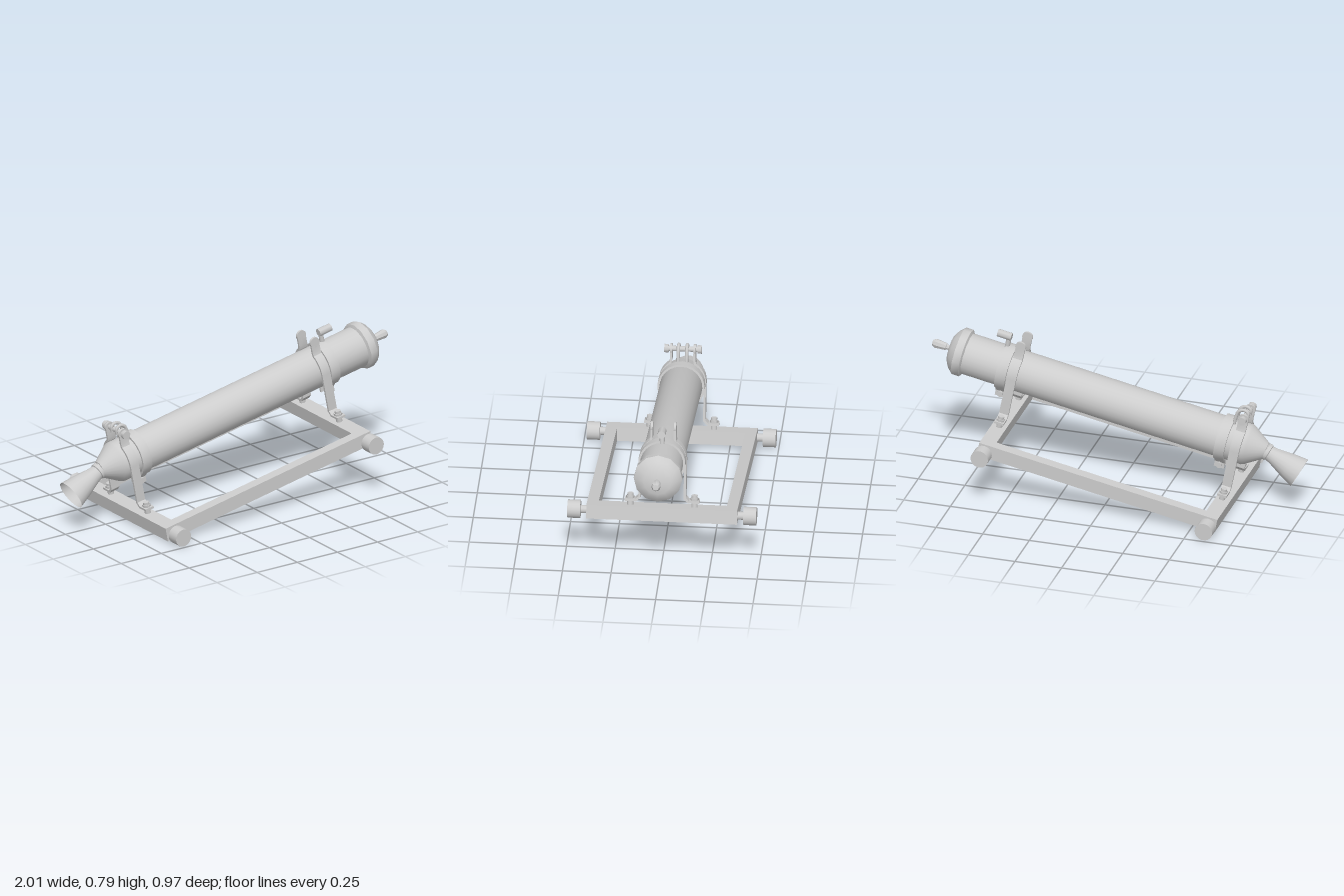
import * as THREE from 'three';
import { toCreasedNormals } from 'three/addons/utils/BufferGeometryUtils.js';

const TILT = Math.atan(0.198);
const AXIS = 0.294; // height of the tube axis above the frame
const R = 0.108;

export function createModel() {
  const model = new THREE.Group();
  model.name = 'tubeOnStand';
  const grey = new THREE.MeshStandardMaterial({ color: 0xcccccc, side: THREE.DoubleSide });
  grey.name = 'light grey';

  // everything is laid out along x, then tilted as a whole
  const tilted = new THREE.Group();
  tilted.name = 'tiltedAssembly';
  tilted.position.y = 0.167;
  tilted.rotation.z = TILT;
  model.add(tilted);

  function add(name, geometry, x = 0, y = 0, z = 0, parent = tilted) {
    const mesh = new THREE.Mesh(geometry, grey);
    mesh.name = name;
    mesh.position.set(x, y, z);
    parent.add(mesh);
    return mesh;
  }
  const box = (w, h, d) => new THREE.BoxGeometry(w, h, d);
  const rod = (r, length, axis = 'y', sides = 12, r2 = r) => {
    const g = new THREE.CylinderGeometry(r2, r, length, sides);
    if (axis === 'x') g.rotateZ(-Math.PI / 2);
    if (axis === 'z') g.rotateX(Math.PI / 2);
    return g;
  };
  // turned part along x from [x, radius] pairs
  const turned = (profile, sides) => toCreasedNormals(
    new THREE.LatheGeometry(profile.map(([x, r]) => new THREE.Vector2(r, x)), sides)
      .rotateZ(-Math.PI / 2), 0.6);
  // bent flat strip following [z, y] points, width along x
  function strip(points, thickness, width) {
    const p = points.map(([z, y]) => new THREE.Vector2(z, y));
    const side = (s) => p.map((c, i) => {
      const a = i > 0 ? c.clone().sub(p[i - 1]).normalize() : null;
      const b = i < p.length - 1 ? p[i + 1].clone().sub(c).normalize() : null;
      const t = (a && b ? a.clone().add(b) : (a || b).clone()).normalize();
      const k = s * thickness / 2 / Math.max(0.5, t.dot(a || b));
      return new THREE.Vector2(c.x - t.y * k, c.y + t.x * k);
    });
    const g = new THREE.ExtrudeGeometry(new THREE.Shape([...side(1), ...side(-1).reverse()]),
      { depth: width, bevelEnabled: false });
    g.translate(0, 0, -width / 2).rotateY(-Math.PI / 2);
    return toCreasedNormals(g, 0.6);
  }

  // frame
  for (const s of [-1, 1]) {
    add('sideRail', box(1.3, 0.074, 0.058), 0, 0, s * 0.358);
    add('crossBeam', box(0.077, 0.074, 0.66), s * 0.6115);
    for (const e of [-1, 1]) {
      add('axle', rod(0.021, 0.06, 'z'), e * 0.612, 0, s * 0.405);
      add('roller', rod(0.047, 0.066, 'z', 18), e * 0.612, 0, s * 0.452);
    }
  }

  // main tube with tapered tail
  add('tube', turned([[-0.748, 0], [-0.748, 0.042], [-0.655, 0.102], [-0.64, R],
    [0.9, R]], 24), 0, AXIS);
  // front cap and its pin
  add('frontCap', turned([[0.885, R], [0.893, 0.125], [0.933, 0.125], [0.96, 0.1],
    [0.976, 0.072], [0.984, 0]], 12), 0, AXIS);
  add('capPin', turned([[0.975, 0.013], [1.0, 0.014], [1.003, 0.019], [1.06, 0.025],
    [1.076, 0.016], [1.077, 0]], 8), 0, AXIS);

  // flared nozzle, bent down from the tube axis
  const nozzle = new THREE.Group();
  nozzle.name = 'nozzle';
  nozzle.position.set(-0.735, AXIS, 0);
  nozzle.rotation.z = 0.31;
  tilted.add(nozzle);
  add('nozzleBell', turned([[-0.214, 0.081], [-0.15, 0.068], [-0.06, 0.044], [-0.025, 0.038],
    [0.02, 0.038], [0.02, 0]], 18), 0, 0, 0, nozzle);
  add('nozzleCollar', turned([[-0.03, 0.036], [-0.026, 0.045], [-0.008, 0.045],
    [-0.004, 0.036]], 18), 0, 0, 0, nozzle);

  // clamp rings, open at the bottom with lugs and a screw
  for (const x of [-0.526, 0.67]) {
    const ring = new THREE.Group();
    ring.name = 'clampRing';
    ring.position.set(x, AXIS, 0);
    tilted.add(ring);
    const path = [[0.022, -0.165], [0.022, -0.132]];
    for (let i = 0; i <= 20; i++) {
      const a = -Math.PI / 2 + 0.4 + i / 20 * (2 * Math.PI - 0.8);
      path.push([Math.cos(a) * 0.116, Math.sin(a) * 0.116]);
    }
    path.push([-0.022, -0.132], [-0.022, -0.165]);
    add('ringBand', strip(path, 0.011, 0.055), 0, 0, 0, ring);
    add('ringScrew', rod(0.01, 0.08, 'z', 8), 0, -0.147, 0, ring);
    for (const s of [-1, 1])
      add('screwHead', rod(0.016, 0.014, 'z', 8), 0, -0.147, s * 0.034, ring);
  }

  // upright straps bolted to the cross beams
  for (const x of [-0.606, 0.611]) {
    for (const s of [-1, 1]) {
      const path = [[0.192, 0.068], [0.135, 0.068], [0.116, 0.088], [0.116, AXIS]];
      for (let i = 1; i <= 6; i++) {
        const a = i / 6 * 0.98;
        path.push([Math.cos(a) * 0.116, AXIS + Math.sin(a) * 0.116]);
      }
      path.push([0.06, 0.41], [0.06, 0.462]);
      add('strap', strip(path.map(([z, y]) => [s * z, y]), 0.012, 0.05), x);
      add('earTip', rod(0.028, 0.012, 'z', 18), x, 0.463, s * 0.06);
      add('footBolt', rod(0.016, 0.07), x, 0.065, s * 0.165);
      add('footNut', rod(0.022, 0.012, 'y', 6), x, 0.08, s * 0.165);
    }
  }

  // rear strap cross bolt with a curled latch
  add('crossBolt', rod(0.014, 0.19, 'z'), -0.606, 0.465);
  for (const s of [-1, 1])
    add('crossBoltHead', rod(0.023, 0.022, 'z', 8), -0.606, 0.465, s * 0.085);
  const curl = new THREE.CatmullRomCurve3([[-0.617, 0.45], [-0.615, 0.482], [-0.59, 0.492],
    [-0.565, 0.475], [-0.557, 0.44], [-0.555, 0.395]].map(([x, y]) => new THREE.Vector3(x, y, 0)));
  for (const s of [-1, 1])
    add('latchHook', new THREE.TubeGeometry(curl, 16, 0.009, 8), 0, 0, s * 0.022);

  // elbow fitting on top of the front ring
  add('elbowPost', rod(0.013, 0.08, 'y', 10), 0.692, 0.43);
  add('elbowHead', rod(0.021, 0.075, 'x', 8), 0.717, 0.468);
  return model;
}
